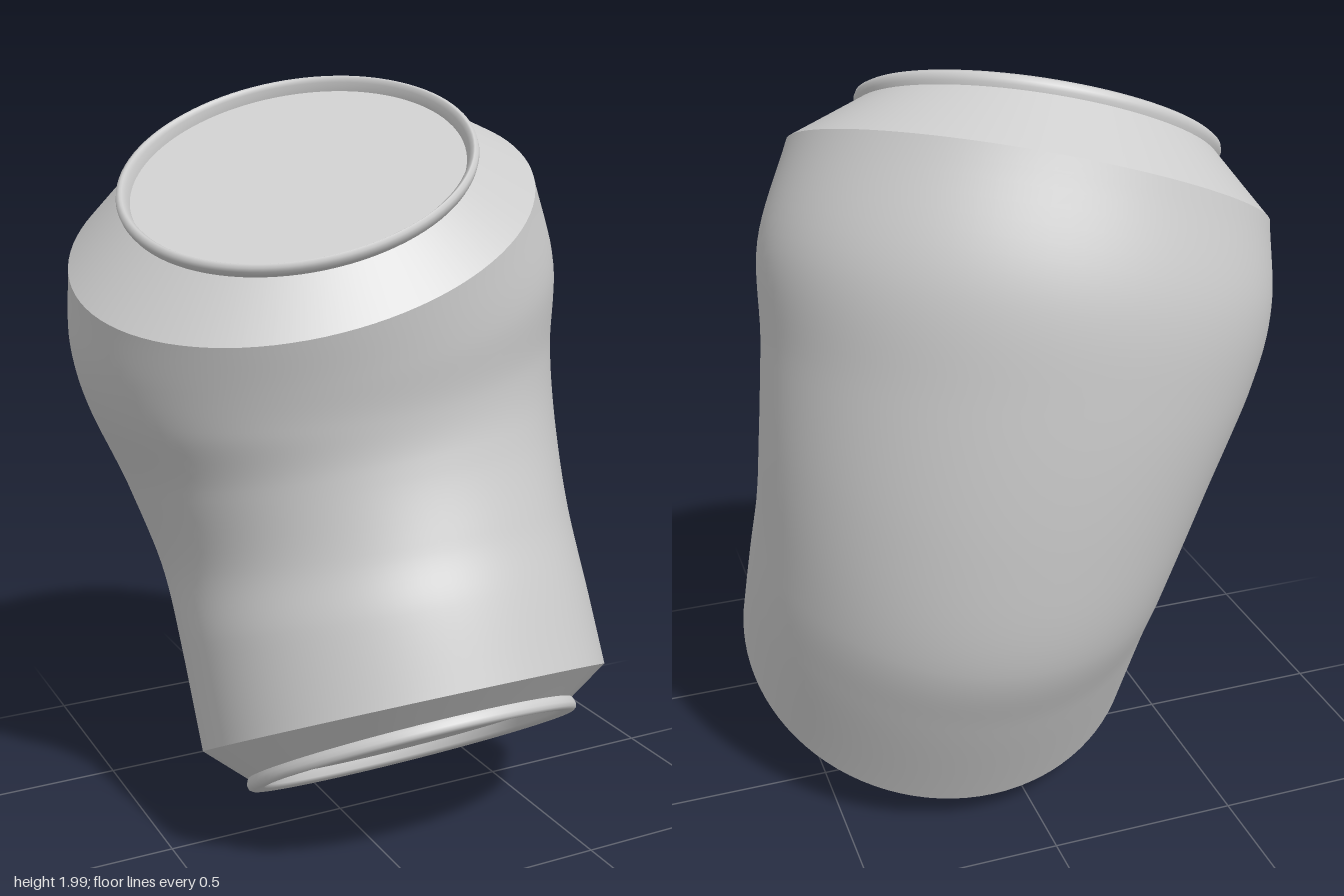
import * as THREE from 'three';

const SEGMENTS = 96;
const grey = new THREE.MeshStandardMaterial({ color: 0xcccccc });
grey.name = 'plain grey';

const v = (x, y, z) => new THREE.Vector3(x, y, z);

// A ring is an ellipse in space: centre c and two half axes, u (sideways) and w (front).
const ring = (c, u, w) => ({ c: v(...c), u: v(...u), w: v(...w) });

// Skins a list of rings, ordered from the bottom of the can to its top.
function skin(name, rings) {
  const pos = [], index = [];
  for (const { c, u, w } of rings) {
    for (let j = 0; j < SEGMENTS; j++) {
      const a = (j / SEGMENTS) * Math.PI * 2;
      const p = c.clone().addScaledVector(u, Math.cos(a)).addScaledVector(w, Math.sin(a));
      pos.push(p.x, p.y, p.z);
    }
  }
  for (let i = 0; i < rings.length - 1; i++) {
    for (let j = 0; j < SEGMENTS; j++) {
      const k = (j + 1) % SEGMENTS;
      const a = i * SEGMENTS + j, b = i * SEGMENTS + k;
      index.push(a, a + SEGMENTS, b, b, a + SEGMENTS, b + SEGMENTS);
    }
  }
  const geo = new THREE.BufferGeometry();
  geo.setAttribute('position', new THREE.Float32BufferAttribute(pos, 3));
  geo.setIndex(index);
  geo.computeVertexNormals();
  const mesh = new THREE.Mesh(geo, grey);
  mesh.name = name;
  return mesh;
}

// Ring made from a rim by scaling it and sliding it outward along its normal.
function offsetRing(rim, side, [scale, out]) {
  const n = rim.w.clone().cross(rim.u).normalize().multiplyScalar(side);
  return {
    c: rim.c.clone().addScaledVector(n, out),
    u: rim.u.clone().multiplyScalar(scale),
    w: rim.w.clone().multiplyScalar(scale),
  };
}

// Sloped shoulder, rolled lip and recessed lid at one end; side is +1 for top, -1 for bottom.
function addEnd(group, prefix, bodyEnd, rim, side, inner) {
  const neck = [0.985, -0.035];
  const lip = [neck, [0.995, -0.026], [1.0, -0.016], [0.995, -0.006], [0.975, 0],
    [inner + 0.035, -0.003], [inner + 0.015, -0.012], [inner, -0.035]];
  const lid = [[inner, -0.035], [inner * 0.5, -0.035], [0, -0.035]];
  const strips = {
    Shoulder: [bodyEnd, offsetRing(rim, side, neck)],
    Lip: lip.map((p) => offsetRing(rim, side, p)),
    Lid: lid.map((p) => offsetRing(rim, side, p)),
  };
  for (const [part, rings] of Object.entries(strips)) {
    if (side < 0) rings.reverse();
    group.add(skin(prefix + part, rings));
  }
}

export function createModel() {
  const group = new THREE.Group();
  group.name = 'bentCan';

  // Rings along the bent body, bottom to top
  const keys = [
    ring([0.12, 0.353, 0.144], [0.55, 0, 0], [0, 0.263, 0.484]),
    ring([0.11, 0.605, 0.03], [0.547, 0.005, 0], [0, 0.2, 0.52]),
    ring([0.098, 0.78, -0.048], [0.543, 0.02, 0.01], [0, 0.165, 0.532]),
    ring([0.052, 1.035, -0.1], [0.573, 0.05, 0.02], [0, 0.085, 0.52]),
    ring([-0.004, 1.27, -0.111], [0.611, 0.08, 0.035], [0, -0.03, 0.514]),
    ring([-0.03, 1.46, -0.095], [0.625, 0.125, 0.045], [0, -0.1, 0.51]),
    ring([-0.083, 1.66, -0.04], [0.583, 0.16, 0.05], [0, -0.175, 0.47]),
  ];
  const [c, u, w] = ['c', 'u', 'w'].map((k) => new THREE.CatmullRomCurve3(keys.map((r) => r[k])));
  const body = [];
  for (let i = 0; i <= 48; i++) {
    const t = i / 48;
    body.push({ c: c.getPoint(t), u: u.getPoint(t), w: w.getPoint(t) });
  }
  group.add(skin('body', body));

  // Both ends
  const bottomRim = ring([0.12, 0.249, 0.202], [0.454, 0, 0], [0, 0.246, 0.379]);
  const topRim = ring([-0.12, 1.8, 0.01], [0.44, 0.115, 0.05], [0, -0.164, 0.355]);
  addEnd(group, 'bottom', body[0], bottomRim, -1, 0.87);
  addEnd(group, 'top', body[body.length - 1], topRim, 1, 0.93);
  return group;
}
